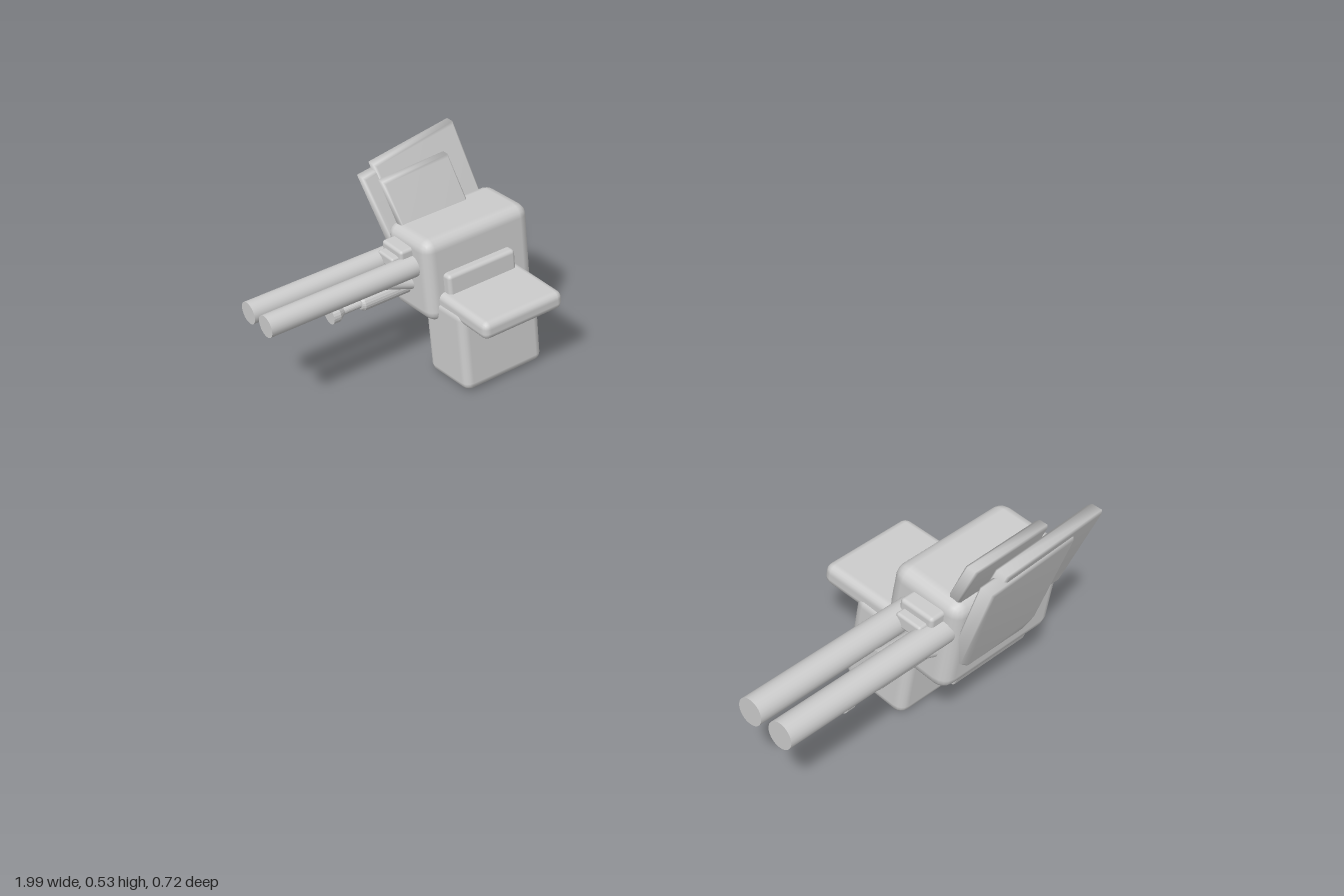
import * as THREE from 'three';
import { mergeVertices } from 'three/addons/utils/BufferGeometryUtils.js';
import { RoundedBoxGeometry } from 'three/addons/geometries/RoundedBoxGeometry.js';

const metal = new THREE.MeshStandardMaterial({ color: 0xcccccc });
metal.name = 'light grey metal';

function add(group, name, geometry, x = 0, y = 0, z = 0, tilt = 0) {
  const mesh = new THREE.Mesh(geometry, metal);
  mesh.name = name;
  mesh.position.set(x, y, z);
  mesh.rotation.z = tilt;
  group.add(mesh);
}

// Bevelled block given by its size and centre
function block(group, name, size, centre, radius, tilt = 0) {
  add(group, name, new RoundedBoxGeometry(...size, 2, radius), ...centre, tilt);
}

// Round bar along z
function bar(group, name, r, x, y, z0, z1) {
  const g = new THREE.CylinderGeometry(r, r, z1 - z0, 24).rotateX(Math.PI / 2);
  add(group, name, g, x, y, (z0 + z1) / 2);
}

// Soft-edged plate outlined in [z, y], leaning outward; xOuter is its outer face at height yRef
function plate(group, name, outline, thickness, xOuter, yRef, lean) {
  const shape = new THREE.Shape(outline.map(([z, y]) => new THREE.Vector2(-z, y)));
  const b = 0.005;
  let g = new THREE.ExtrudeGeometry(shape, {
    depth: thickness - 2 * b, bevelEnabled: true, bevelSize: b, bevelOffset: -b, bevelThickness: b, bevelSegments: 1,
  });
  g.rotateY(Math.PI / 2);
  const p = g.attributes.position;
  for (let i = 0; i < p.count; i++) {
    p.setX(i, p.getX(i) + xOuter - thickness + b + lean * (p.getY(i) - yRef));
  }
  g.deleteAttribute('uv');
  g.deleteAttribute('normal');
  g = mergeVertices(g, 1e-5);
  g.computeVertexNormals();
  add(group, name, g);
}

function createWeapon() {
  const w = new THREE.Group();
  const tilt = -0.05;

  // Body, base and inner tray
  block(w, 'housing', [0.168, 0.22, 0.312], [0.819, 0.269, -0.204], 0.03, tilt);
  block(w, 'base', [0.158, 0.22, 0.235], [0.716, 0.113, -0.188], 0.022, tilt);
  block(w, 'tray', [0.27, 0.048, 0.236], [0.687, 0.219, -0.193], 0.018);
  block(w, 'innerFlange', [0.05, 0.09, 0.2], [0.736, 0.247, -0.192], 0.01, tilt);
  block(w, 'keel', [0.026, 0.036, 0.208], [0.874, 0.16, -0.201], 0.006, -0.3);

  // Leaning shield plates
  plate(w, 'rearShield', [[-0.065, 0.5], [-0.097, 0.29], [-0.343, 0.29], [-0.307, 0.531]], 0.032, 0.998, 0.53, 0.36);
  plate(w, 'frontShield',
    [[-0.03, 0.477], [-0.08, 0.225], [-0.105, 0.2], [-0.265, 0.2], [-0.288, 0.228], [-0.238, 0.503]],
    0.034, 0.995, 0.503, 0.31);
  plate(w, 'innerShield', [[-0.052, 0.48], [-0.08, 0.3], [-0.275, 0.3], [-0.245, 0.488]], 0.028, 0.932, 0.485, 0.38);

  // Twin barrels and their stepped clamp
  for (const x of [0.796, 0.87]) bar(w, 'barrel', 0.028, x, 0.304, -0.1, 0.36);
  block(w, 'barrelClamp', [0.08, 0.035, 0.055], [0.835, 0.335, -0.043], 0.008);
  block(w, 'clampLip', [0.06, 0.03, 0.06], [0.835, 0.321, -0.026], 0.006);

  // Small lower gun with a narrow neck and flared tip
  const profile = [[0, -0.1], [0.021, -0.1], [0.021, 0.08], [0.016, 0.086], [0.011, 0.087],
    [0.011, 0.134], [0.022, 0.151], [0.022, 0.17], [0, 0.17]];
  const gun = new THREE.LatheGeometry(profile.map(([r, z]) => new THREE.Vector2(r, z)), 20).toNonIndexed();
  gun.rotateX(Math.PI / 2);
  gun.computeVertexNormals();
  add(w, 'lowerGun', gun, 0.835, 0.234, 0);

  // Struts rising forward from the housing to meet under the barrels
  for (const side of [-1, 1]) {
    const path = new THREE.LineCurve3(
      new THREE.Vector3(0.835 + side * 0.026, 0.245, -0.06),
      new THREE.Vector3(0.835 + side * 0.005, 0.285, 0.078));
    add(w, 'strut', new THREE.TubeGeometry(path, 1, 0.014, 12));
  }
  return w;
}

export function createModel() {
  const model = new THREE.Group();
  model.name = 'weaponPair';
  const left = createWeapon();
  left.name = 'leftWeapon';
  const right = createWeapon();
  right.name = 'rightWeapon';
  right.scale.x = -1;
  model.add(left, right);
  return model;
}
